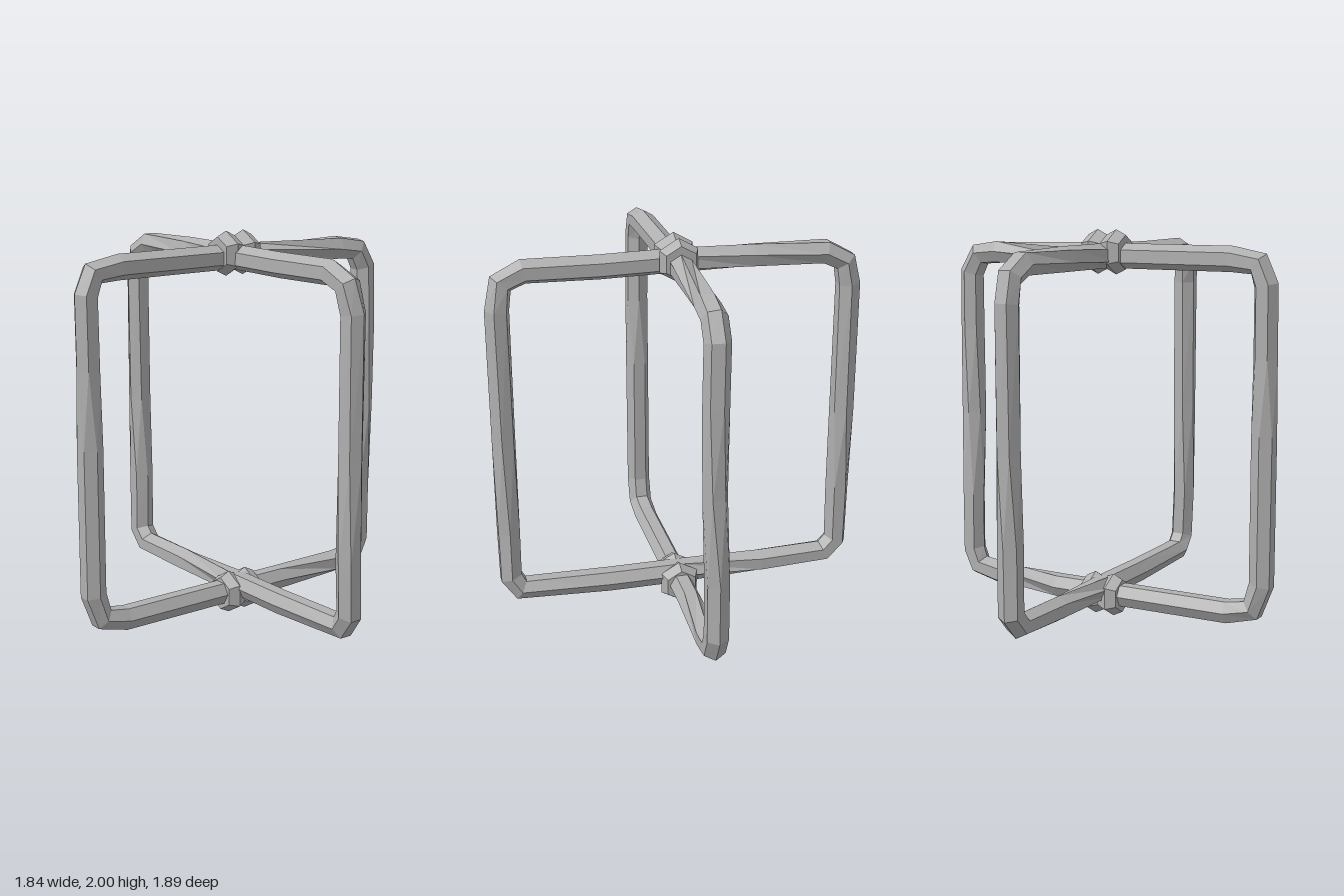
import * as THREE from 'three';

const SIDES = 6, RADIUS = 0.063;

// Closed faceted tube. Each point is [x, y, z, twist in degrees]; n is the normal of the loop's plane.
function loopTube(points, n) {
  const pts = points.map(p => new THREE.Vector3(p[0], p[1], p[2]));
  const count = pts.length, pos = [], index = [];
  pts.forEach((p, i) => {
    const before = p.clone().sub(pts[(i + count - 1) % count]).normalize();
    const after = pts[(i + 1) % count].clone().sub(p).normalize();
    const t = before.add(after).normalize();
    const out = t.clone().cross(n).normalize();
    const side = out.clone().cross(t).normalize();
    if (side.dot(n) < 0) side.negate();
    for (let j = 0; j < SIDES; j++) {
      const a = j / SIDES * Math.PI * 2 + THREE.MathUtils.degToRad(points[i][3]);
      const v = p.clone().addScaledVector(out, Math.cos(a) * RADIUS).addScaledVector(side, Math.sin(a) * RADIUS);
      pos.push(v.x, v.y, v.z);
      const i2 = (i + 1) % count, j2 = (j + 1) % SIDES;
      const A = i * SIDES + j, B = i2 * SIDES + j, C = i * SIDES + j2, D = i2 * SIDES + j2;
      index.push(A, B, C, B, D, C);
    }
  });
  const g = new THREE.BufferGeometry();
  g.setAttribute('position', new THREE.Float32BufferAttribute(pos, 3));
  g.setIndex(index);
  const flat = g.toNonIndexed();
  flat.computeVertexNormals();
  return flat;
}

export function createModel() {
  const model = new THREE.Group();
  model.name = 'crossedFrame';
  const grey = new THREE.MeshStandardMaterial({ color: 0xb0b0b0, flatShading: true });
  grey.name = 'grey';
  const add = (geometry, name, parent = model) => {
    const m = new THREE.Mesh(geometry, grey);
    m.name = name;
    parent.add(m);
    return m;
  };

  // Frame running left to right
  add(loopTube([
    [0, 1.87, 0, 0], [-0.68, 1.87, 0, 0], [-0.82, 1.85, -0.005, 0], [-0.86, 1.75, -0.005, 0],
    [-0.86, 1.4, 0, 0], [-0.86, 1.01, 0, 30], [-0.86, 0.28, 0, 30], [-0.815, 0.15, 0, 30],
    [-0.68, 0.12, 0, 30], [0, 0.12, 0, 30], [0.3, 0.12, 0, 30], [0.68, 0.135, 0.015, 0],
    [0.815, 0.16, 0.02, 0], [0.855, 0.25, 0.02, 0], [0.855, 0.55, 0.02, 0], [0.855, 1.01, 0.035, 25],
    [0.855, 1.46, 0.035, 40], [0.85, 1.76, 0.03, 40], [0.795, 1.855, 0.03, 40],
    [0.67, 1.87, 0.025, 35], [0.1, 1.87, 0, 0]
  ], new THREE.Vector3(0, 0, 1)), 'sideFrame');

  // Frame running front to back
  add(loopTube([
    [0, 1.87, 0, 0], [-0.005, 1.865, 0.38, 0], [-0.015, 1.87, 0.75, 0], [-0.01, 1.82, 0.86, 0],
    [0.005, 1.69, 0.885, 10], [0.005, 1.0, 0.885, 15], [0.005, 0.5, 0.885, 30], [0.015, 0.24, 0.885, 30],
    [0.02, 0.165, 0.835, 30], [0.025, 0.15, 0.37, 30], [0.03, 0.15, 0, 30],
    [0.03, 0.15, -0.46, 0], [0.03, 0.16, -0.82, 0], [0.03, 0.23, -0.885, 0], [0.03, 0.55, -0.885, 0],
    [0.03, 1.0, -0.89, 25], [0.03, 1.69, -0.89, 30], [0.03, 1.81, -0.865, 30],
    [0.03, 1.865, -0.76, 30], [0.015, 1.87, -0.39, 15]
  ], new THREE.Vector3(1, 0, 0)), 'frontBackFrame');

  // Paired six-sided collars where the frames cross
  const profile = [[0.03, -0.053], [0.086, -0.053], [0.112, 0], [0.086, 0.053], [0.03, 0.053]]
    .map(p => new THREE.Vector2(p[0], p[1]));
  const collar = new THREE.LatheGeometry(profile, 6, Math.PI / 2);
  collar.rotateZ(Math.PI / 2);
  for (const [name, x, y] of [['topBinding', 0.01, 1.888], ['bottomBinding', 0.025, 0.112]]) {
    const hub = new THREE.Group();
    hub.name = name;
    hub.position.set(x, y, 0);
    model.add(hub);
    for (const s of [-1, 1]) add(collar, s < 0 ? 'rightCollar' : 'leftCollar', hub).position.x = s * 0.053;
  }
  return model;
}
